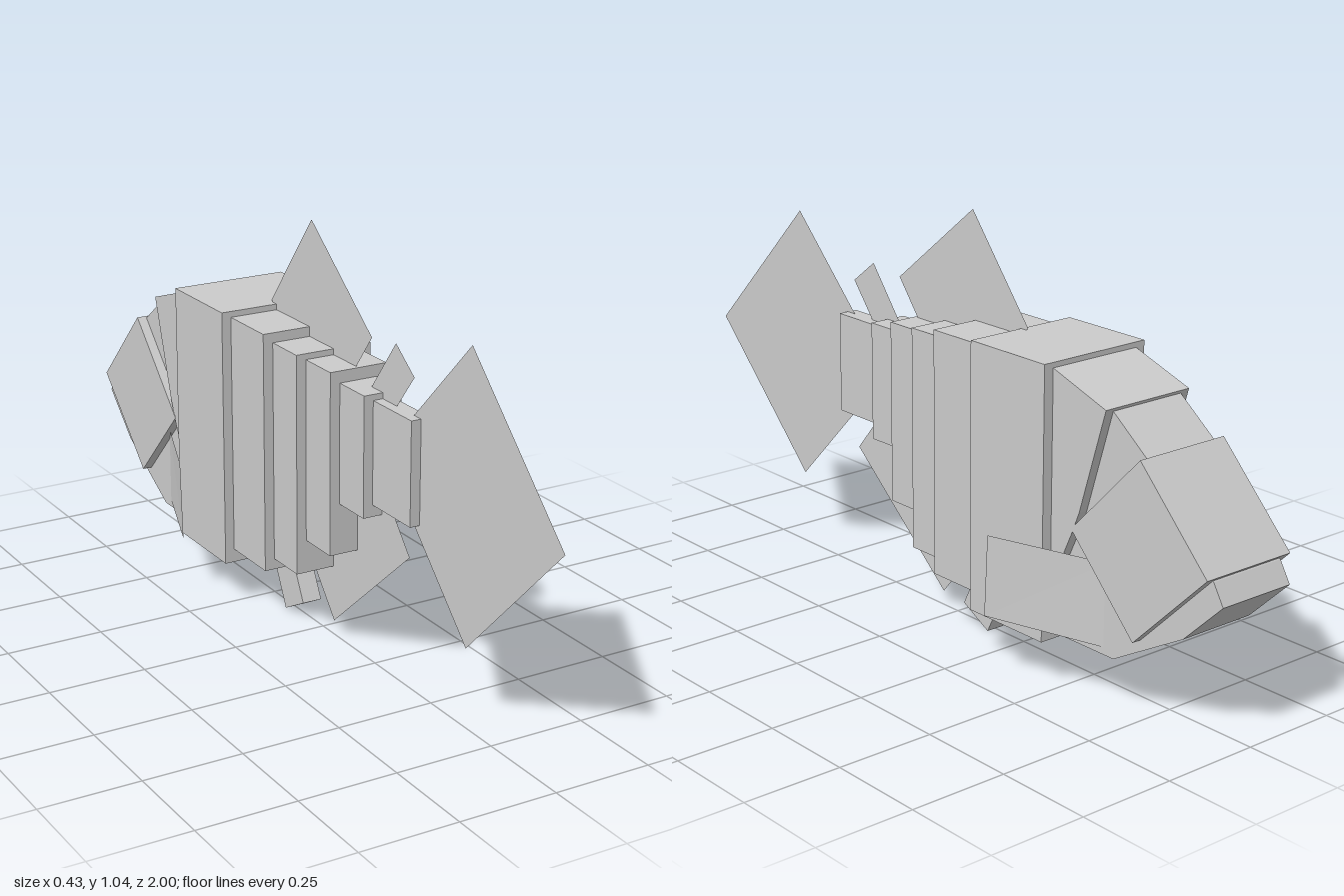
import * as THREE from 'three';

const material = new THREE.MeshStandardMaterial({ color: 0xcccccc, flatShading: true });
const thin = new THREE.MeshStandardMaterial({ color: 0xcccccc, flatShading: true, side: THREE.DoubleSide });

const shapeOf = (points) => new THREE.Shape(points.map(([z, y]) => new THREE.Vector2(z, y)));

// Solid slab from a side outline of [z, y] points, centred on x = 0
function slab(name, halfWidth, points) {
  const geometry = new THREE.ExtrudeGeometry(shapeOf(points), { depth: 2 * halfWidth, bevelEnabled: false });
  geometry.translate(0, 0, -halfWidth).rotateY(-Math.PI / 2);
  const mesh = new THREE.Mesh(geometry, material);
  mesh.name = name;
  return mesh;
}

// Flat fin in the middle plane
function fin(name, points) {
  const mesh = new THREE.Mesh(new THREE.ShapeGeometry(shapeOf(points)).rotateY(-Math.PI / 2), thin);
  mesh.name = name;
  return mesh;
}

export function createModel() {
  const fish = new THREE.Group();
  fish.name = 'fish';

  // Body blocks, tail to shoulders: z from, z to, y from, y to, half width
  [
    [0.27, 0.44, 0.43, 0.69, 0.026],
    [0.16, 0.275, 0.4, 0.705, 0.051],
    [0.05, 0.165, 0.27, 0.735, 0.077],
    [-0.07, 0.05, 0.185, 0.75, 0.103],
    [-0.23, -0.065, 0.157, 0.775, 0.129],
    [-0.483, -0.23, 0.122, 0.79, 0.154],
  ].forEach(([z0, z1, y0, y1, half], i) => {
    const block = new THREE.Mesh(new THREE.BoxGeometry(2 * half, y1 - y0, z1 - z0), material);
    block.position.set(0, (y0 + y1) / 2, (z0 + z1) / 2);
    block.name = `bodySegment${i + 1}`;
    fish.add(block);
  });

  // Head: narrow inner core with jaw, wide cheeks and tilted snout block
  fish.add(slab('jawCore', 0.104, [
    [-0.45, 0.77], [-0.65, 0.715], [-0.765, 0.628], [-0.97, 0.41],
    [-1, 0.36], [-0.885, 0.25], [-0.67, 0.13], [-0.45, 0.13],
  ]));
  fish.add(slab('cheeks', 0.128, [
    [-0.45, 0.785], [-0.48, 0.778], [-0.655, 0.72], [-0.575, 0.46], [-0.55, 0.4], [-0.48, 0.25], [-0.45, 0.25],
  ]));
  fish.add(slab('snout', 0.129, [[-0.765, 0.635], [-0.975, 0.42], [-0.755, 0.205], [-0.55, 0.415]]));

  // Flat middle fins
  fish.add(fin('tailFin', [[1, 0.56], [0.64, 0.92], [0.28, 0.56], [0.64, 0.2]]));
  fish.add(fin('dorsalFin', [[0.225, 0.825], [-0.055, 1.045], [-0.255, 0.795], [0.03, 0.575]]));
  fish.add(fin('rearDorsalFin', [[0.41, 0.78], [0.33, 0.84], [0.225, 0.705], [0.305, 0.65]]));
  fish.add(fin('analFin', [[0.4, 0.335], [0.055, 0.04], [-0.19, 0.325], [0.155, 0.62]]));

  // Stubby fin under the belly
  fish.add(slab('pelvicFin', 0.026, [[-0.055, 0.05], [-0.145, 0.003], [-0.24, 0.19], [-0.15, 0.235]]));

  // Side fins, swept back and outward
  for (const side of [1, -1]) {
    const geometry = new THREE.BufferGeometry();
    geometry.setAttribute('position', new THREE.Float32BufferAttribute([
      side * 0.103, 0.353, -0.64, side * 0.213, 0.364, -0.36,
      side * 0.213, 0.161, -0.35, side * 0.103, 0.148, -0.64,
    ], 3));
    geometry.setIndex([0, 1, 2, 0, 2, 3]);
    geometry.computeVertexNormals();
    const mesh = new THREE.Mesh(geometry, thin);
    mesh.name = side > 0 ? 'leftPectoralFin' : 'rightPectoralFin';
    fish.add(mesh);
  }
  return fish;
}
